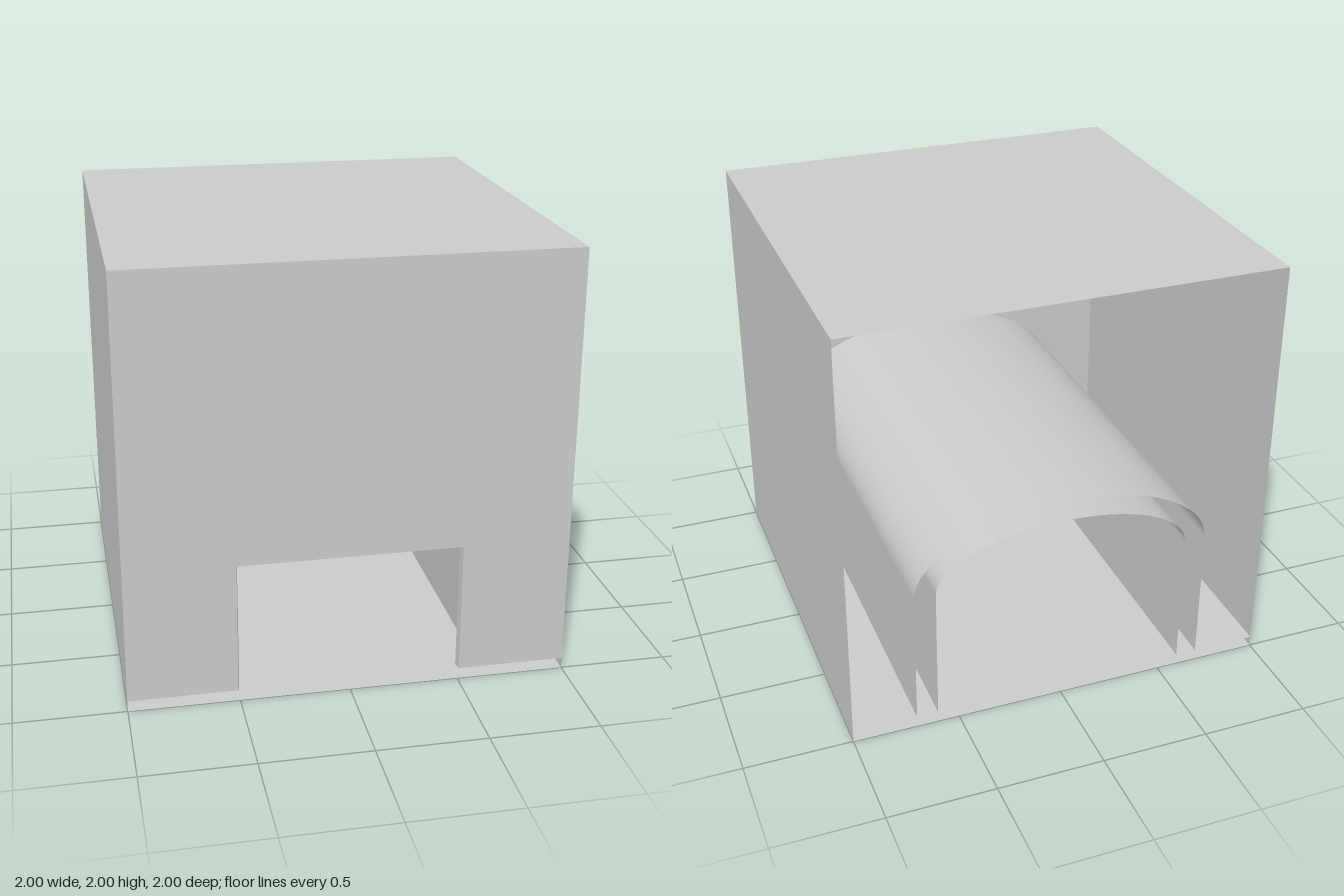
import * as THREE from 'three';

const material = new THREE.MeshStandardMaterial({ color: 0xcccccc, side: THREE.DoubleSide });

// Open sheet joining two matching outlines, the first at zFront and the second at zBack
function loft(front, zFront, back, zBack) {
  const positions = [], indices = [];
  front.forEach((p, i) => {
    positions.push(p.x, p.y, zFront, back[i].x, back[i].y, zBack);
    if (i > 0) {
      const a = 2 * i - 2;
      indices.push(a, a + 2, a + 1, a + 1, a + 2, a + 3);
    }
  });
  const geometry = new THREE.BufferGeometry();
  geometry.setAttribute('position', new THREE.Float32BufferAttribute(positions, 3));
  geometry.setIndex(indices);
  geometry.computeVertexNormals();
  return geometry;
}

// Straight legs under a half ellipse
function archOutline(halfWidth, base, spring, rise, steps = 48) {
  const points = [new THREE.Vector2(-halfWidth, base)];
  for (let i = 0; i <= steps; i++) {
    const t = Math.PI * (1 - i / steps);
    points.push(new THREE.Vector2(halfWidth * Math.cos(t), spring + rise * Math.sin(t)));
  }
  points.push(new THREE.Vector2(halfWidth, base));
  return points;
}

// Three-sided doorway outline
function doorOutline(halfWidth, base, top) {
  return [[-halfWidth, base], [-halfWidth, top], [halfWidth, top], [halfWidth, base]]
    .map(([x, y]) => new THREE.Vector2(x, y));
}

export function createModel() {
  const model = new THREE.Group();
  const add = (name, geometry) => {
    const mesh = new THREE.Mesh(geometry, material);
    mesh.name = name;
    model.add(mesh);
    return mesh;
  };
  const floorY = 0.05;

  // Horizontal sheets: roof, raised floor and underside, with open gaps at front and back
  add('roof', new THREE.PlaneGeometry(2, 2).rotateX(-Math.PI / 2).translate(0, 2, 0));
  add('floor', new THREE.PlaneGeometry(2, 2).rotateX(-Math.PI / 2).translate(0, floorY, 0));
  add('underside', new THREE.PlaneGeometry(2, 2).rotateX(Math.PI / 2));

  // Side walls
  for (const [name, side] of [['leftWall', 1], ['rightWall', -1]]) {
    add(name, new THREE.PlaneGeometry(2, 2).rotateY(side * Math.PI / 2).translate(side, 1, 0));
  }

  // Front wall with a square doorway; the back stays open
  const opening = doorOutline(0.507, floorY, 0.662);
  const wall = new THREE.Shape([
    new THREE.Vector2(1, floorY), new THREE.Vector2(1, 2),
    new THREE.Vector2(-1, 2), new THREE.Vector2(-1, floorY),
    ...opening,
  ]);
  add('frontWall', new THREE.ShapeGeometry(wall).translate(0, 0, 1));

  // Shallow, slightly tapered doorway reveal
  const reveal = loft(opening, 1, doorOutline(0.5, floorY, 0.653), 0.965).toNonIndexed();
  reveal.computeVertexNormals();
  add('doorwayReveal', reveal);

  // Two nested tunnel vaults running front to back
  const outer = archOutline(0.7, floorY, 0.7, 0.35);
  const inner = archOutline(0.6, floorY, 0.7, 0.25);
  add('outerVault', loft(outer, 1, outer, -1));
  add('innerVault', loft(inner, 1, inner, -1));

  return model;
}
